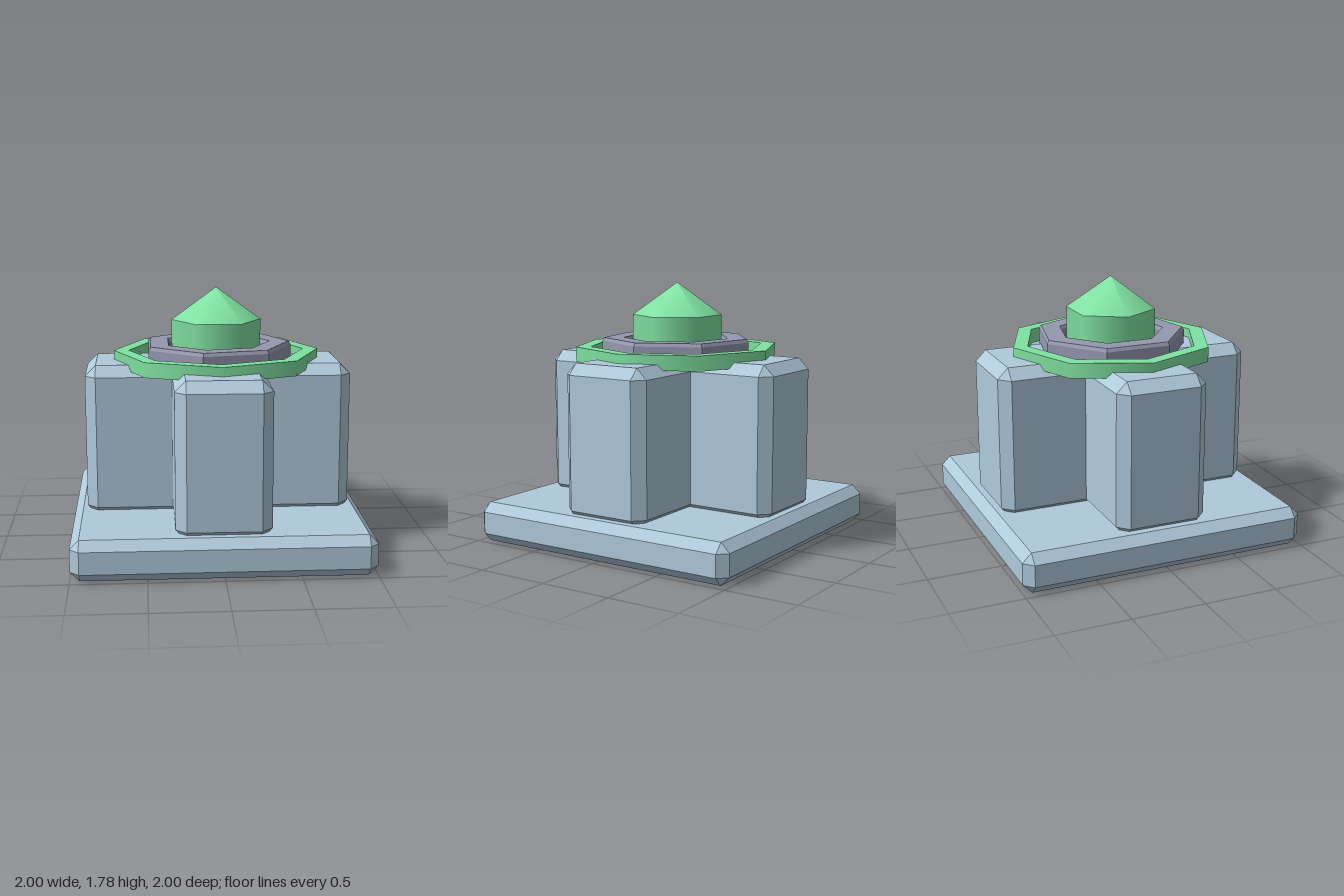
import * as THREE from 'three';
import { mergeGeometries } from 'three/addons/utils/BufferGeometryUtils.js';
import { ConvexGeometry } from 'three/addons/geometries/ConvexGeometry.js';

const material = (name, color) => {
  const m = new THREE.MeshStandardMaterial({ color });
  m.name = name;
  return m;
};

// Box with every edge chamfered by c: each face is inset on its two axes
function chamferBox(w, h, d, c) {
  const points = [];
  for (const x of [-1, 1]) for (const y of [-1, 1]) for (const z of [-1, 1]) {
    for (let axis = 0; axis < 3; axis++) {
      const inset = [c, c, c];
      inset[axis] = 0;
      points.push(new THREE.Vector3(
        x * (w / 2 - inset[0]), y * (h / 2 - inset[1]), z * (d / 2 - inset[2])));
    }
  }
  return new ConvexGeometry(points);
}

// Prism turned from a profile [radius, y]; corners of the profile stay sharp.
// The first corner of the polygon points to +x.
function turned(profile, sides, flat = false) {
  const bands = [];
  for (let i = 0; i < profile.length - 1; i++) {
    const pair = [profile[i], profile[i + 1]].map(([r, y]) => new THREE.Vector2(r, y));
    bands.push(new THREE.LatheGeometry(pair, sides, Math.PI / 2));
  }
  const merged = mergeGeometries(bands);
  if (!flat) return merged;
  const faceted = merged.toNonIndexed();
  faceted.computeVertexNormals();
  return faceted;
}

export function createModel() {
  const group = new THREE.Group();
  const stone = material('paleBlueStone', 0xafcadb);
  const green = material('crystalGreen', 0x80e2a2);
  const metal = material('greyMetal', 0x9597ae);
  const white = material('paleInlay', 0xf8fafc);

  const add = (name, geometry, mat, y = 0) => {
    const mesh = new THREE.Mesh(geometry, mat);
    mesh.name = name;
    mesh.position.y = y;
    group.add(mesh);
    return mesh;
  };

  // Square plinth
  add('basePlate', chamferBox(2, 0.275, 2, 0.062), stone, 0.1375);

  // Two crossing blocks form the plus-shaped body
  add('crossBlockWide', chamferBox(1.815, 1.055, 0.635, 0.073), stone, 0.7525);
  add('crossBlockDeep', chamferBox(0.635, 1.055, 1.815, 0.073), stone, 0.7525);

  // Eight-sided outer ring
  add('outerRing', turned(
    [[0.713, 1.24], [0.713, 1.342], [0.61, 1.342], [0.61, 1.24], [0.713, 1.24]], 8), green);

  // Seven-sided bevelled collar
  add('collar', turned([
    [0.51, 1.222], [0.525, 1.245], [0.525, 1.375], [0.51, 1.398],
    [0.372, 1.398], [0.357, 1.375], [0.357, 1.245], [0.372, 1.222], [0.51, 1.222],
  ], 7, true), metal);

  // Thin inlay closing the collar under the crystal
  add('collarInlay', turned([[0, 1.285], [0.365, 1.285], [0.365, 1.292], [0, 1.292]], 7), white);

  // Six-sided pointed crystal
  add('crystal', turned([[0, 1.25], [0.31, 1.25], [0.31, 1.555], [0, 1.78]], 6), green);

  return group;
}
